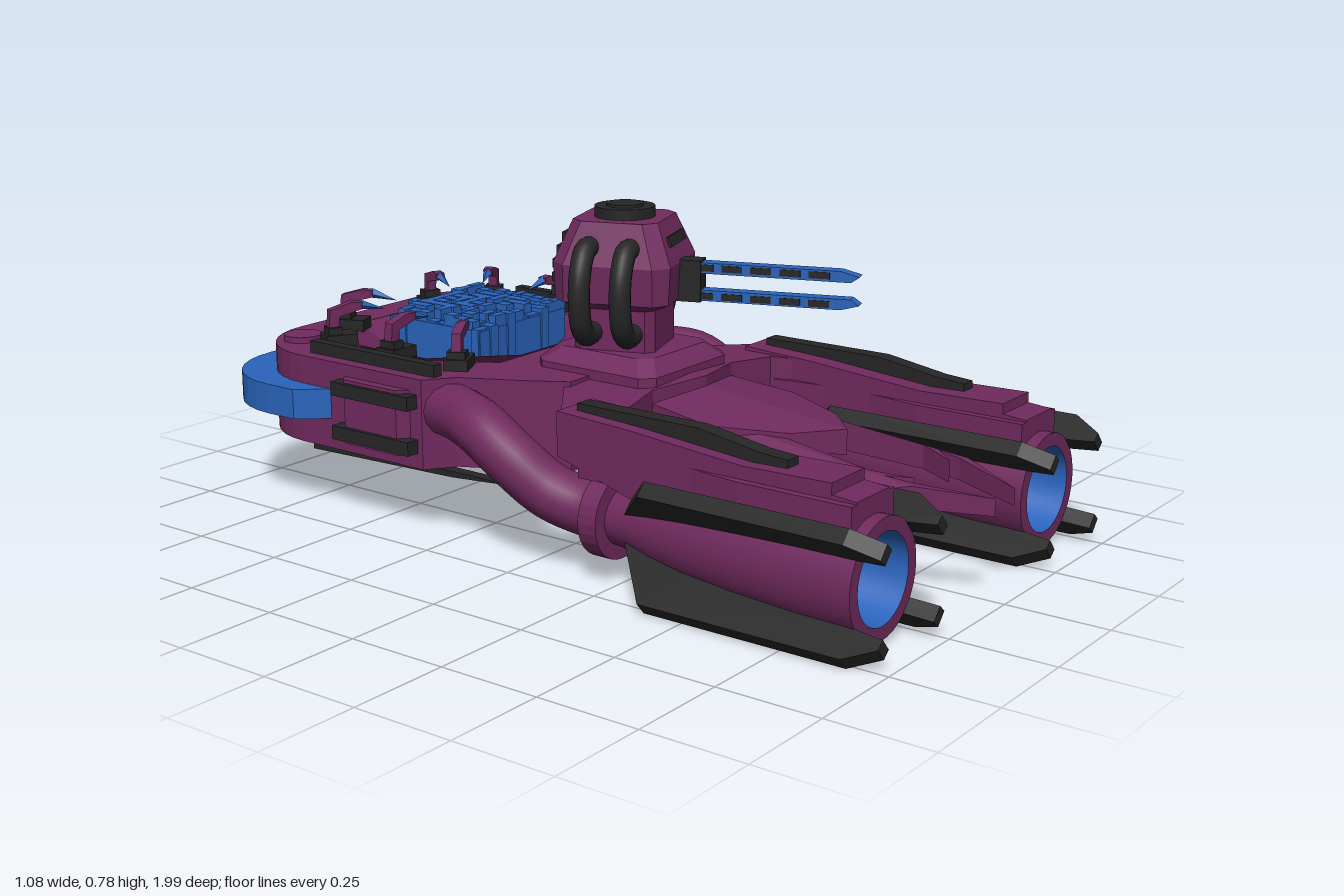
import * as THREE from 'three';

const mat = (color, flatShading = true) => new THREE.MeshStandardMaterial({ color, flatShading, side: THREE.DoubleSide });
const purple = mat(0x702a5e), purpleSmooth = mat(0x702a5e, false);
const black = mat(0x262626), blackSmooth = mat(0x262626, false);
const blue = mat(0x2a64bc), blueSmooth = mat(0x2a64bc, false);

function add(parent, name, geo, material, x = 0, y = 0, z = 0) {
  const m = new THREE.Mesh(geo, material);
  m.name = name;
  m.position.set(x, y, z);
  parent.add(m);
  return m;
}
const box = (parent, name, w, h, d, material, x, y, z) => add(parent, name, new THREE.BoxGeometry(w, h, d), material, x, y, z);
const flip = pts => pts.map(([x, z]) => [-x, z]).reverse();
const toShape = pts => new THREE.Shape(pts.map(([x, z]) => new THREE.Vector2(x, -z)));

// Plan outline (x, z) raised between a bottom and a top height; heights may be rules of (x, z)
function slab(pts, bottom, top, hole) {
  const shape = toShape(pts);
  if (hole) shape.holes.push(toShape(hole));
  const g = new THREE.ExtrudeGeometry(shape, { depth: 1, bevelEnabled: false }).rotateX(-Math.PI / 2);
  const p = g.attributes.position;
  const at = (f, x, z) => (typeof f === 'function' ? f(x, z) : f);
  for (let i = 0; i < p.count; i++) p.setY(i, at(p.getY(i) > 0.5 ? top : bottom, p.getX(i), p.getZ(i)));
  g.computeVertexNormals();
  return g;
}
// Side profile (z, y) extruded across a width in x
function sideProfile(pts, width) {
  const shape = new THREE.Shape(pts.map(([z, y]) => new THREE.Vector2(-z, y)));
  return new THREE.ExtrudeGeometry(shape, { depth: width, bevelEnabled: false }).translate(0, 0, -width / 2).rotateY(Math.PI / 2);
}
// Quarter-round rear corner, from the side to the back
function corner(hx, zBack, r) {
  return Array.from({ length: 9 }, (_, i) => {
    const a = (i / 8) * Math.PI / 2;
    return [hx - r + r * Math.cos(a), zBack + r - r * Math.sin(a)];
  });
}
// Stacked chamfered rectangles [y, halfX, halfZ, chamfer, shiftZ]
function loft(sections) {
  const pos = [], idx = [];
  sections.forEach(([y, a, b, c, s = 0]) => {
    [[a, b - c], [a, c - b], [a - c, -b], [c - a, -b], [-a, c - b], [-a, b - c], [c - a, b], [a - c, b]]
      .forEach(([x, z]) => pos.push(x, y, z + s));
  });
  for (let k = 0; k < sections.length - 1; k++) for (let i = 0; i < 8; i++) {
    const p = k * 8 + i, q = k * 8 + (i + 1) % 8;
    idx.push(p, q, q + 8, p, q + 8, p + 8);
  }
  const t = (sections.length - 1) * 8;
  for (let i = 1; i < 7; i++) idx.push(0, i + 1, i, t, t + i, t + i + 1);
  const g = new THREE.BufferGeometry();
  g.setAttribute('position', new THREE.Float32BufferAttribute(pos, 3));
  g.setIndex(idx);
  g.computeVertexNormals();
  return g;
}
const tube = (pts, r, n = 28) => new THREE.TubeGeometry(new THREE.CatmullRomCurve3(pts.map(p => new THREE.Vector3(...p))), n, r, 14);

function buildHull(g) {
  const half = [[0.24, -0.02], [0.3, -0.12], [0.37, -0.26], [0.44, -0.31], ...corner(0.44, -0.93, 0.22)];
  const outline = [...half, ...flip(half)];
  const well = [[0.29, -0.42], [0.29, -0.68], [0.15, -0.83], [-0.15, -0.83], [-0.29, -0.68], [-0.29, -0.42], [-0.2, -0.27], [0.2, -0.27]];
  add(g, 'lowerHull', slab(outline, 0.17, 0.34), purple);
  add(g, 'upperHull', slab(outline, 0.34, 0.39, well), purple);
  // Sloping wall of the reactor well
  const wall = add(g, 'wellWall', new THREE.CylinderGeometry(0.31, 0.22, 0.055, 8, 1, true).rotateY(Math.PI / 8), purple, 0, 0.365, -0.55);
  wall.scale.set(1.0, 1, 0.97);

  // Wrap-around rear bumper
  const outer = [[0.43, -0.61], [0.44, -0.61], [0.5, -0.68], ...corner(0.5, -1, 0.23)];
  const inner = [[0.43, -0.61], ...corner(0.43, -0.92, 0.22)];
  add(g, 'rearBumper', slab([...outer, ...flip(outer), ...flip(inner).reverse(), ...inner.slice().reverse()], 0.245, 0.32), blue);

  for (const s of [-1, 1]) {
    box(g, 'deckRail', 0.028, 0.05, 0.41, black, s * 0.392, 0.395, -0.505);
    add(g, 'keelBlade', sideProfile([[-0.05, 0.17], [-0.71, 0.17], [-0.71, 0.143], [-0.25, 0.155]], 0.03), black, s * 0.392);
    for (const y of [0.225, 0.335]) box(g, 'sideVent', 0.04, 0.034, 0.25, black, s * 0.455, y, -0.45);
    add(g, 'sideVentFairing', slab([[s * 0.42, -0.33], [s * 0.465, -0.37], [s * 0.465, -0.54], [s * 0.42, -0.58]], 0.2, 0.36), purple);
    add(g, 'deckDisc', new THREE.CylinderGeometry(0.048, 0.048, 0.02, 20), purple, s * 0.32, 0.395, -0.825);
  }
}

// Block-built reactor core with seeded heights
function buildCore(g) {
  let seed = 7;
  const rnd = () => (seed = (seed * 16807) % 2147483647) / 2147483647;
  const core = new THREE.Group();
  core.name = 'reactorCore';
  g.add(core);
  box(core, 'coreBase', 0.33, 0.11, 0.3, blue, 0, 0.39, -0.515);
  const n = 10, cell = 0.035;
  for (let i = 0; i < n; i++) for (let j = 0; j < n; j++) {
    const edge = i === 0 || j === 0 || i === n - 1 || j === n - 1;
    const top = 0.475 - (rnd() < 0.45 ? 0.012 + rnd() * 0.016 : 0) - (edge ? 0.01 * rnd() : 0);
    const wide = rnd() < 0.5;
    box(core, 'coreBlock', cell * (wide ? 1.25 : 0.8), top - 0.35, cell * (wide ? 0.7 : 1.1) * 0.9, blue,
      (i - 4.5) * cell * 0.94, (top + 0.35) / 2, -0.515 + (j - 4.5) * cell * 0.87);
  }
}

// Eight claws leaning over the core: [x, z, towards x, towards z]
function buildClaws(g) {
  for (const s of [-1, 1]) for (const [x, z, tx, tz] of [[0.17, -0.85, 0.1, -0.7], [0.33, -0.74, 0.2, -0.67], [0.35, -0.51, 0.19, -0.51], [0.33, -0.3, 0.2, -0.37]]) {
    const c = new THREE.Group();
    c.name = 'claw';
    c.position.set(s * x, 0.39, z);
    c.rotation.y = Math.atan2(s * (tx - x), tz - z);
    g.add(c);
    box(c, 'clawFoot', 0.06, 0.03, 0.08, black, 0, 0.012, 0.04);
    box(c, 'clawSocket', 0.045, 0.03, 0.035, black, 0, 0.03, 0.025);
    add(c, 'clawArm', sideProfile([[0.01, 0.03], [0.035, 0.03], [0.04, 0.07], [0.1, 0.085], [0.1, 0.102], [0.07, 0.104], [0.015, 0.088]], 0.024), purple);
    add(c, 'clawSpike', new THREE.ConeGeometry(0.013, 0.07, 4).rotateX(Math.PI / 2 + 0.25), blue, 0, 0.086, 0.128);
  }
}

function buildFront(g) {
  const topY = (x, z) => 0.385 - 0.1 * Math.max(0, z) - Math.abs(x) * 0.12;
  const front = new THREE.Group();
  front.name = 'frontHull';
  g.add(front);
  for (const s of [-1, 1]) {
    const m = pts => pts.map(([x, z]) => [s * x, z]);
    // Shoulder reaching out to the pod cowl
    add(front, 'shoulder', slab(m([[0, -0.1], [0.24, -0.04], [0.44, 0.11], [0.44, 0.2], [0.31, 0.24], [0.29, 0.19], [0.16, 0.16], [0, 0.2]]),
      x => 0.24 + Math.abs(x) * 0.1, (x, z) => 0.39 - Math.abs(x) * 0.05), purple);
    // Ridged nose and its prong
    add(front, 'nose', slab(m([[0, 0.05], [0.16, 0.14], [0.18, 0.33], [0.1, 0.5], [0, 0.59]]),
      (x, z) => 0.23 + Math.abs(x) * 0.2 + z * 0.06, topY), purple);
    add(front, 'prong', slab(m([[0.13, 0.16], [0.2, 0.47], [0.2, 0.7], [0.13, 0.83], [0.045, 0.99], [0.11, 0.82], [0.12, 0.76], [0.08, 0.81], [0.12, 0.72], [0.1, 0.48], [0.06, 0.3]]),
      (x, z) => 0.27 - 0.06 * z, (x, z) => 0.37 - 0.12 * z - (x * s > 0.17 ? 0.04 : 0)), purple);
    add(front, 'prongSpur', new THREE.ConeGeometry(0.035, 0.16, 4).rotateX(Math.PI / 2 + 0.35), purple, s * 0.14, 0.26, 0.42);
    // Pod cowl with its black rail
    add(front, 'cowl', sideProfile([[0.1, 0.28], [0.1, 0.385], [0.3, 0.375], [0.6, 0.35], [0.82, 0.355], [0.82, 0.33], [0.88, 0.325], [0.88, 0.26], [0.3, 0.22]], 0.13), purple, s * 0.375);
    add(front, 'cowlSkirt', slab(m([[0.29, 0.2], [0.44, 0.16], [0.43, 0.4], [0.46, 0.6], [0.46, 0.88], [0.29, 0.88], [0.29, 0.6], [0.32, 0.4]]), 0.24, 0.32), purple);
    add(front, 'cowlRail', sideProfile([[0.13, 0.36], [0.13, 0.4], [0.46, 0.4], [0.62, 0.375], [0.69, 0.37], [0.69, 0.335], [0.4, 0.35]], 0.042), black, s * 0.383);
  }
}

function buildPod(g, s) {
  const pod = new THREE.Group();
  pod.name = s > 0 ? 'leftPod' : 'rightPod';
  pod.position.set(s * 0.375, 0.148, 0);
  g.add(pod);
  const lathe = pts => new THREE.LatheGeometry(pts.map(p => new THREE.Vector2(...p)), 36).rotateX(Math.PI / 2);
  add(pod, 'podShell', lathe([[0.062, 0.2], [0.07, 0.28], [0.09, 0.36], [0.108, 0.46], [0.122, 0.6], [0.132, 0.76], [0.135, 0.91]]), purpleSmooth);
  add(pod, 'podRim', new THREE.RingGeometry(0.103, 0.135, 36), purple, 0, 0, 0.91);
  add(pod, 'podBore', lathe([[0.001, 0.62], [0.05, 0.65], [0.085, 0.74], [0.103, 0.91]]), blueSmooth);
  add(pod, 'podFlange', new THREE.CylinderGeometry(0.1, 0.1, 0.05, 28).rotateX(Math.PI / 2), purple, 0, 0, 0.21);
  // Four diagonal fins
  for (let k = 0; k < 4; k++) {
    const a = (k % 2 ? 1 : -1) * 0.85 + (k > 1 ? Math.PI : 0);
    const fin = add(pod, 'podFin', sideProfile([[0.29, 0.07], [0.4, 0.205], [0.91, 0.205], [0.98, 0.165], [0.98, 0.14], [0.85, 0.125], [0.5, 0.1]], 0.038), black);
    fin.rotation.z = a;
  }
  // Feed pipe curling back into the hull
  add(g, 'feedPipe', tube([[0.375, 0.148, 0.24], [0.378, 0.15, 0.14], [0.405, 0.18, 0.05], [0.435, 0.25, -0.04], [0.43, 0.3, -0.13], [0.395, 0.31, -0.22], [0.37, 0.31, -0.3]]
    .map(([x, y, z]) => [s * x, y, z]), 0.066), purpleSmooth);
}

function buildTurret(g) {
  add(g, 'turretPlinth', loft([[0.38, 0.17, 0.175, 0.03], [0.405, 0.17, 0.175, 0.03], [0.44, 0.13, 0.14, 0.03]]), purple, 0, 0, -0.02);
  const t = new THREE.Group();
  t.name = 'turret';
  t.position.set(-0.01, 0, -0.035);
  t.rotation.y = 0.34;
  g.add(t);
  add(t, 'turretBody', loft([[0.42, 0.1, 0.1, 0.02], [0.54, 0.1, 0.1, 0.02], [0.56, 0.135, 0.14, 0.03], [0.65, 0.14, 0.145, 0.035], [0.75, 0.105, 0.105, 0.03]]), purple);
  add(t, 'hatchRing', new THREE.CylinderGeometry(0.073, 0.073, 0.026, 28), black, 0, 0.762, 0);
  add(t, 'hatchCentre', new THREE.CylinderGeometry(0.045, 0.045, 0.006, 24), black, 0, 0.778, 0);
  const slit = box(t, 'visionSlit', 0.12, 0.025, 0.02, black, 0, 0.7, 0.122);
  slit.rotation.x = -0.37;
  // Rear louvres
  for (let i = 0; i < 5; i++) {
    const y = 0.575 + i * 0.032;
    box(t, 'rearLouvre', 0.17 - i * 0.009, 0.022, 0.03, black, 0, y, y < 0.65 ? -0.142 : -0.142 + (y - 0.65) * 0.4);
  }
  // Paired side hoses
  for (const s of [-1, 1]) for (const z of [-0.05, 0.05]) {
    add(t, 'sideHose', tube([[0.1, 0.69, z], [0.15, 0.69, z], [0.185, 0.645, z], [0.195, 0.58, z], [0.18, 0.515, z], [0.145, 0.485, z], [0.08, 0.485, z]]
      .map(([x, y, zz]) => [s * x, y, zz]), 0.026), blackSmooth);
  }
  // Twin-rail gun
  box(t, 'gunMount', 0.05, 0.1, 0.08, black, 0, 0.605, 0.155);
  for (const s of [-1, 1]) {
    const rail = [[0.13, 0.02], [0.13, 0.046], [0.53, 0.046], [0.575, 0.034], [0.555, 0.02]].map(([z, y]) => [z, 0.604 + s * y]);
    add(t, 'gunRail', sideProfile(rail, 0.036), blue);
    for (let i = 0; i < 5; i++) box(t, 'railInsert', 0.04, 0.016, 0.05, black, 0, 0.604 + s * 0.034, 0.2 + i * 0.07);
  }
}

export function createModel() {
  const g = new THREE.Group();
  g.name = 'hoverTank';
  buildHull(g);
  buildCore(g);
  buildClaws(g);
  buildFront(g);
  for (const s of [-1, 1]) buildPod(g, s);
  buildTurret(g);
  return g;
}
